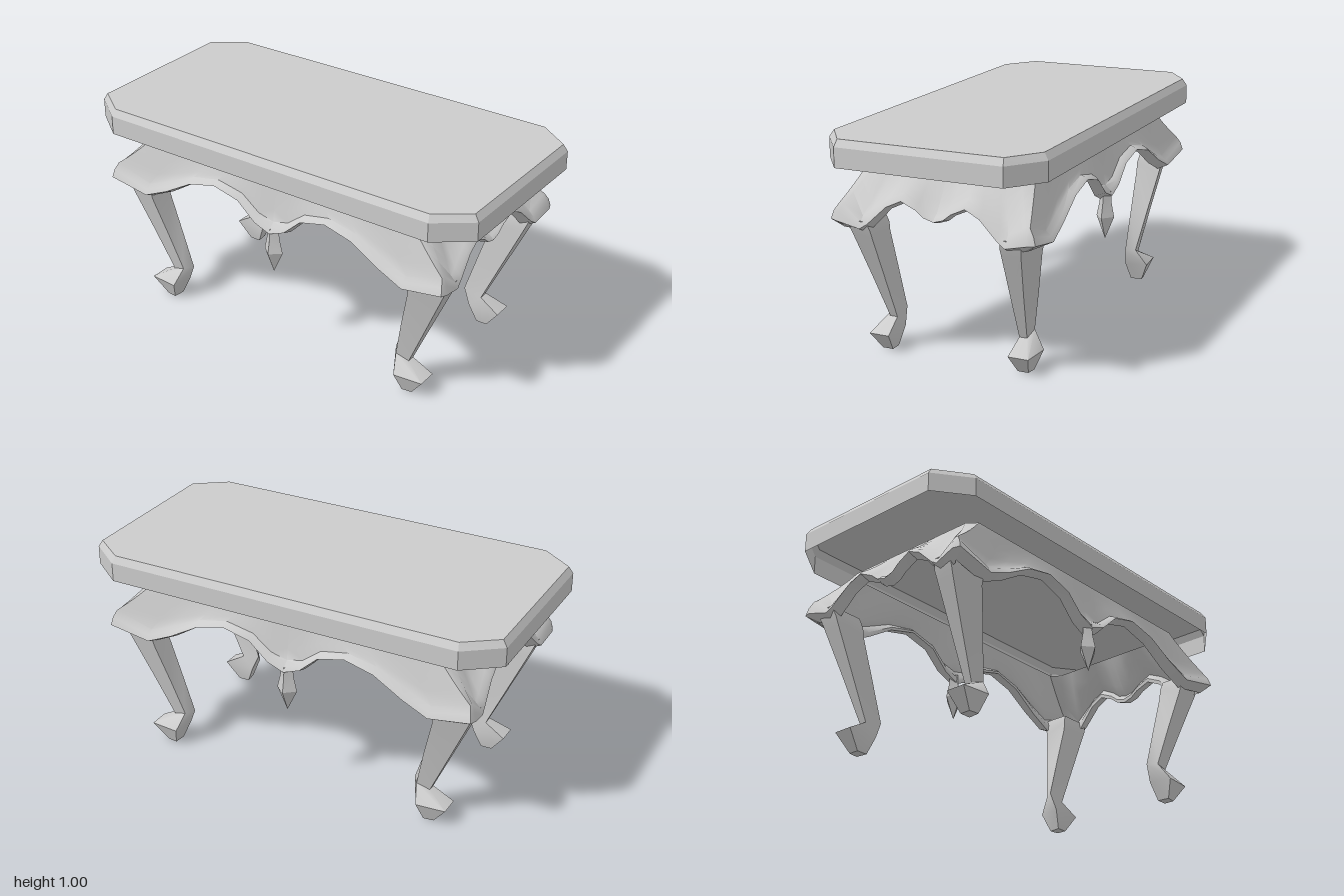
import * as THREE from 'three';
import { toCreasedNormals } from 'three/addons/utils/BufferGeometryUtils.js';

const material = new THREE.MeshStandardMaterial({ color: 0xcccccc });
const sheetMaterial = new THREE.MeshStandardMaterial({ color: 0xcccccc, side: THREE.DoubleSide });

// Skin over columns of points: columns run counterclockwise seen from above, points run top to bottom
function loft(columns, closed, crease) {
  const rows = columns[0].length;
  const index = [];
  const spans = closed ? columns.length : columns.length - 1;
  for (let s = 0; s < spans; s++) {
    const t = (s + 1) % columns.length;
    for (let r = 0; r < rows - 1; r++) {
      const a = s * rows + r, d = t * rows + r;
      index.push(a, a + 1, d + 1, a, d + 1, d);
    }
  }
  const geometry = new THREE.BufferGeometry();
  geometry.setAttribute('position', new THREE.Float32BufferAttribute(columns.flat(2), 3));
  geometry.setIndex(index);
  return toCreasedNormals(geometry, crease);
}

function named(name, geometry, mat = material) {
  const mesh = new THREE.Mesh(geometry, mat);
  mesh.name = name;
  return mesh;
}

// Chamfered top, open underneath, with a bevelled upper edge: [y, half x, half z, corner x, corner z]
function tabletopGeometry() {
  const levels = [
    [0.998, 0, 0, 0, 0], [0.998, 0.98, 0.48, 0.833, 0.374],
    [0.967, 1, 0.5, 0.84, 0.38], [0.88, 1, 0.5, 0.84, 0.38],
  ];
  const columns = [];
  for (const [sx, sz] of [[1, 1], [1, -1], [-1, -1], [-1, 1]]) {
    const onLongSide = levels.map(([y, , hz, cx]) => [sx * cx, y, sz * hz]);
    const onShortSide = levels.map(([y, hx, , , cz]) => [sx * hx, y, sz * cz]);
    columns.push(...(sx * sz > 0 ? [onLongSide, onShortSide] : [onShortSide, onLongSide]));
  }
  return loft(columns, true, 0.2);
}

// Scalloped skirt: [distance along the side, top of moulding, bottom of moulding]
const frontScallop = [
  [0, 0.655, 0.585], [0.08, 0.675, 0.622], [0.17, 0.745, 0.71], [0.3, 0.772, 0.747],
  [0.44, 0.745, 0.71], [0.58, 0.682, 0.622], [0.7, 0.635, 0.567], [0.88, 0.695, 0.592],
];
const sideScallop = [
  [0, 0.69, 0.645], [0.045, 0.7, 0.66], [0.08, 0.73, 0.688], [0.147, 0.765, 0.718],
  [0.215, 0.735, 0.685], [0.3, 0.672, 0.595], [0.335, 0.648, 0.573], [0.42, 0.695, 0.588],
];

// One vertical section of the skirt, flaring from the top point to the moulding
function skirtColumn(top, edge, out, yu, yl) {
  const height = yu - yl;
  const column = [];
  for (let i = 0; i <= 4; i++) {
    const t = i / 4;
    const f = t * (0.8 + 0.2 * t);
    column.push([
      top[0] + (edge[0] - top[0]) * f, 0.867 + (yu - 0.867) * t, top[1] + (edge[1] - top[1]) * f,
    ]);
  }
  const add = (k, y) => column.push([edge[0] + out[0] * k, y, edge[1] + out[1] * k]);
  add(0.022, yu - 0.3 * height);
  add(0.034, yl + 0.35 * height);
  add(-0.02, yl);
  add(-0.022, yl + 0.4 * height);
  add(0, yu);
  return column;
}

function skirtQuarter() {
  const front = frontScallop.map(([x, yu, yl], i) => {
    const k = x / 0.88;
    const out = i === 7 ? [0.5, 0.9] : [0, 1];
    return skirtColumn([x * 0.69 / 0.88, 0.38], [x, 0.41 + 0.03 * k * k], out, yu, yl);
  });
  const side = sideScallop.map(([z, yu, yl], i) => {
    const k = z / 0.42;
    const out = i === 7 ? [0.9, 0.5] : [1, 0];
    return skirtColumn([0.725, z * 0.335 / 0.42], [0.835 + 0.043 * k * k, z], out, yu, yl);
  });
  return loft([...front, ...side.reverse()], false, 0.75);
}

// Curved four-sided leg with a pointed foot:
// [y, x inner, x outer, z inner, z outer, shift of inner front corner, set-back of outer front corner, drop of outer side]
function legGeometry() {
  const levels = [
    [0.63, 0.72, 0.885, 0.31, 0.43, 0, 0.03, 0], [0.585, 0.705, 0.868, 0.3, 0.424, 0, 0.03, 0],
    [0.545, 0.7, 0.85, 0.3, 0.415, 0.003, 0.028, 0], [0.35, 0.637, 0.762, 0.297, 0.376, 0.014, 0.018, 0],
    [0.163, 0.578, 0.668, 0.294, 0.338, 0.028, 0.008, 0.022], [0.085, 0.612, 0.765, 0.285, 0.39, 0.016, 0.012, 0],
    [0, 0.647, 0.7, 0.302, 0.357, 0.006, 0.006, 0], [0, 0.673, 0.673, 0.33, 0.33, 0, 0, 0],
  ];
  const corners = [
    ([y, x0, , , z1, shift]) => [x0 + shift, y, z1],
    ([y, , x1, , z1, , back, drop]) => [x1, y - drop, z1 - back],
    ([y, , x1, z0, , , , drop]) => [x1, y - drop, z0],
    ([y, x0, , z0]) => [x0, y, z0],
  ];
  return loft(corners.map((corner) => levels.map(corner)), true, 0.8);
}

// Four-sided drop hanging from the middle of a long side
function pendantGeometry() {
  const levels = [[0.63, 0.03], [0.575, 0.034], [0.51, 0.05], [0.405, 0]];
  const columns = [[0, 1], [1, 0], [0, -1], [-1, 0]].map(
    ([x, z]) => levels.map(([y, r]) => [x * r, y, 0.412 + z * r * 0.85]),
  );
  return loft(columns, true, 0.2);
}

export function createModel() {
  const table = new THREE.Group();
  table.name = 'table';
  table.add(named('tabletop', tabletopGeometry(), sheetMaterial));

  // Skirt and legs, mirrored into four quarters
  const skirt = skirtQuarter();
  const leg = legGeometry();
  const drop = pendantGeometry();
  for (const sz of [1, -1]) {
    for (const sx of [1, -1]) {
      const quarter = new THREE.Group();
      const place = (sz > 0 ? 'front' : 'back') + (sx > 0 ? 'Left' : 'Right');
      quarter.name = place + 'Corner';
      quarter.scale.set(sx, 1, sz);
      quarter.add(named(place + 'Skirt', skirt, sheetMaterial), named(place + 'Leg', leg));
      table.add(quarter);
    }
    const pendant = named(sz > 0 ? 'frontPendant' : 'backPendant', drop);
    pendant.scale.z = sz;
    table.add(pendant);
  }
  return table;
}
